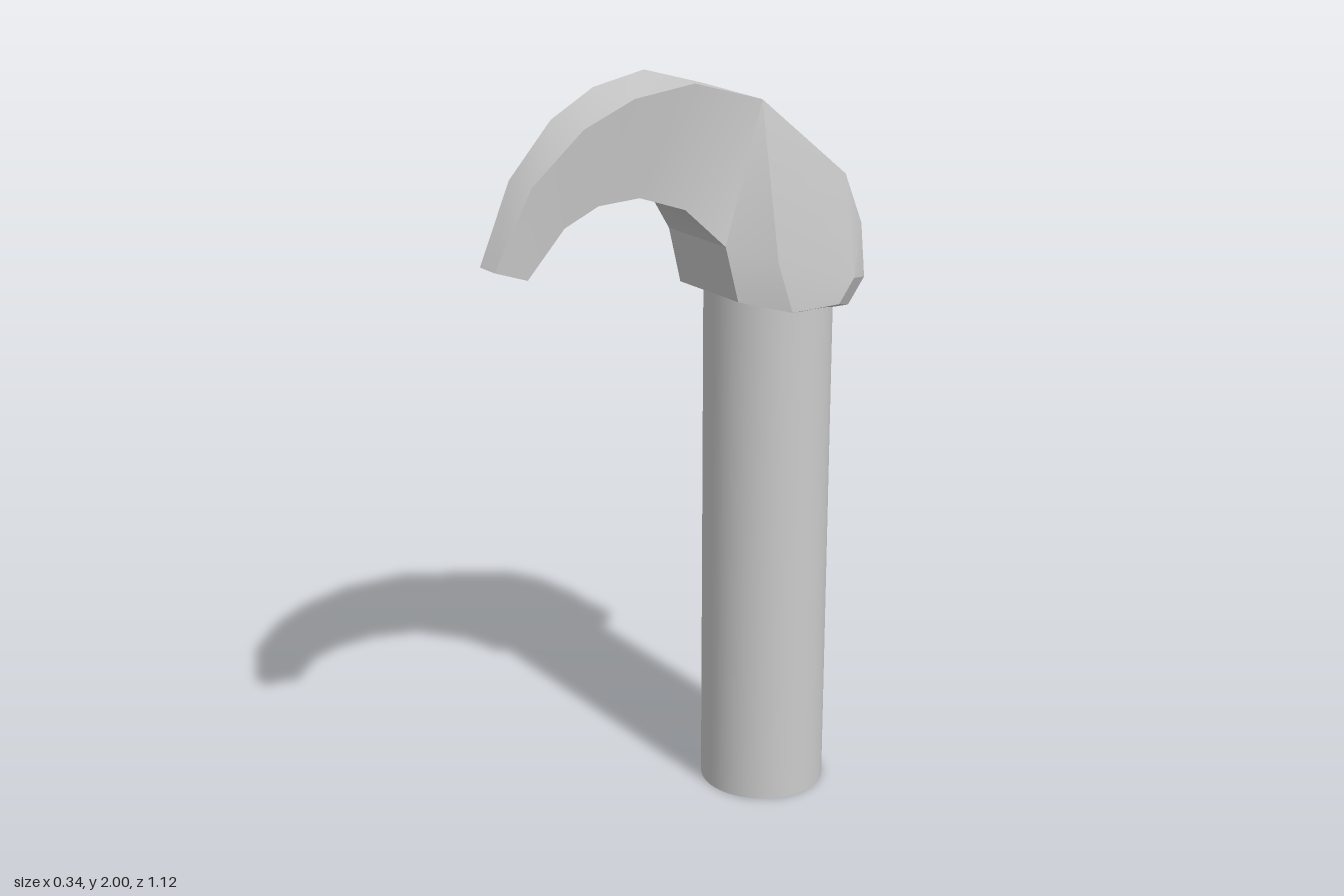
import * as THREE from 'three';
import { ConvexGeometry } from 'three/addons/geometries/ConvexGeometry.js';
import { toCreasedNormals } from 'three/addons/utils/BufferGeometryUtils.js';

const CREASE = 0.5;

// Four-sided loft; each section is [outer z, y, halfWidth, inner z, y, halfWidth], running front to back.
function loft(sections) {
  const pos = [], index = [];
  for (const [oz, oy, ow, iz, iy, iw] of sections) {
    pos.push(ow, oy, oz, -ow, oy, oz, -iw, iy, iz, iw, iy, iz);
  }
  for (let i = 0; i < sections.length - 1; i++) {
    for (let j = 0; j < 4; j++) {
      const a = i * 4 + j, d = i * 4 + (j + 1) % 4;
      index.push(a, a + 4, d + 4, a, d + 4, d);
    }
  }
  index.push(0, 1, 2, 0, 2, 3); // tip cap
  const geo = new THREE.BufferGeometry();
  geo.setAttribute('position', new THREE.Float32BufferAttribute(pos, 3));
  geo.setIndex(index);
  return toCreasedNormals(geo, CREASE);
}

export function createModel() {
  const group = new THREE.Group();
  const material = new THREE.MeshStandardMaterial({ color: 0xcccccc });
  const add = (name, geometry) => {
    const mesh = new THREE.Mesh(geometry, material);
    mesh.name = name;
    group.add(mesh);
    return mesh;
  };

  // Round handle, its top sunk into the head
  add('handle', new THREE.CylinderGeometry(0.167, 0.167, 1.45, 48)).position.set(0, 0.725, -0.32);

  // Curved claw, tapering to a blunt tip
  add('claw', loft([
    [0.56, 1.62, 0.03, 0.46, 1.58, 0.022],
    [0.46, 1.81, 0.045, 0.355, 1.69, 0.03],
    [0.32, 1.93, 0.064, 0.26, 1.73, 0.04],
    [0.18, 1.985, 0.08, 0.14, 1.73, 0.047],
    [0.01, 2.0, 0.097, 0.01, 1.68, 0.062],
    [-0.19, 1.935, 0.115, -0.08, 1.58, 0.11],
  ]));

  // Faceted head block: a narrow centre profile and wider cheeks, as [z, y, halfWidth]
  const block = [
    [-0.19, 1.935, 0.115], [-0.475, 1.70, 0.115], [-0.535, 1.56, 0.115],
    [-0.555, 1.41, 0.11], [-0.50, 1.345, 0.11],
    [-0.12, 1.43, 0.113], [-0.08, 1.58, 0.11],
    [-0.20, 1.53, 0.172], [-0.25, 1.39, 0.172], [-0.41, 1.38, 0.172], [-0.46, 1.44, 0.172],
  ];
  const points = block.flatMap(([z, y, w]) => [1, -1].map((s) => new THREE.Vector3(s * w, y, z)));
  add('headBlock', toCreasedNormals(new ConvexGeometry(points), 0.35));

  return group;
}
